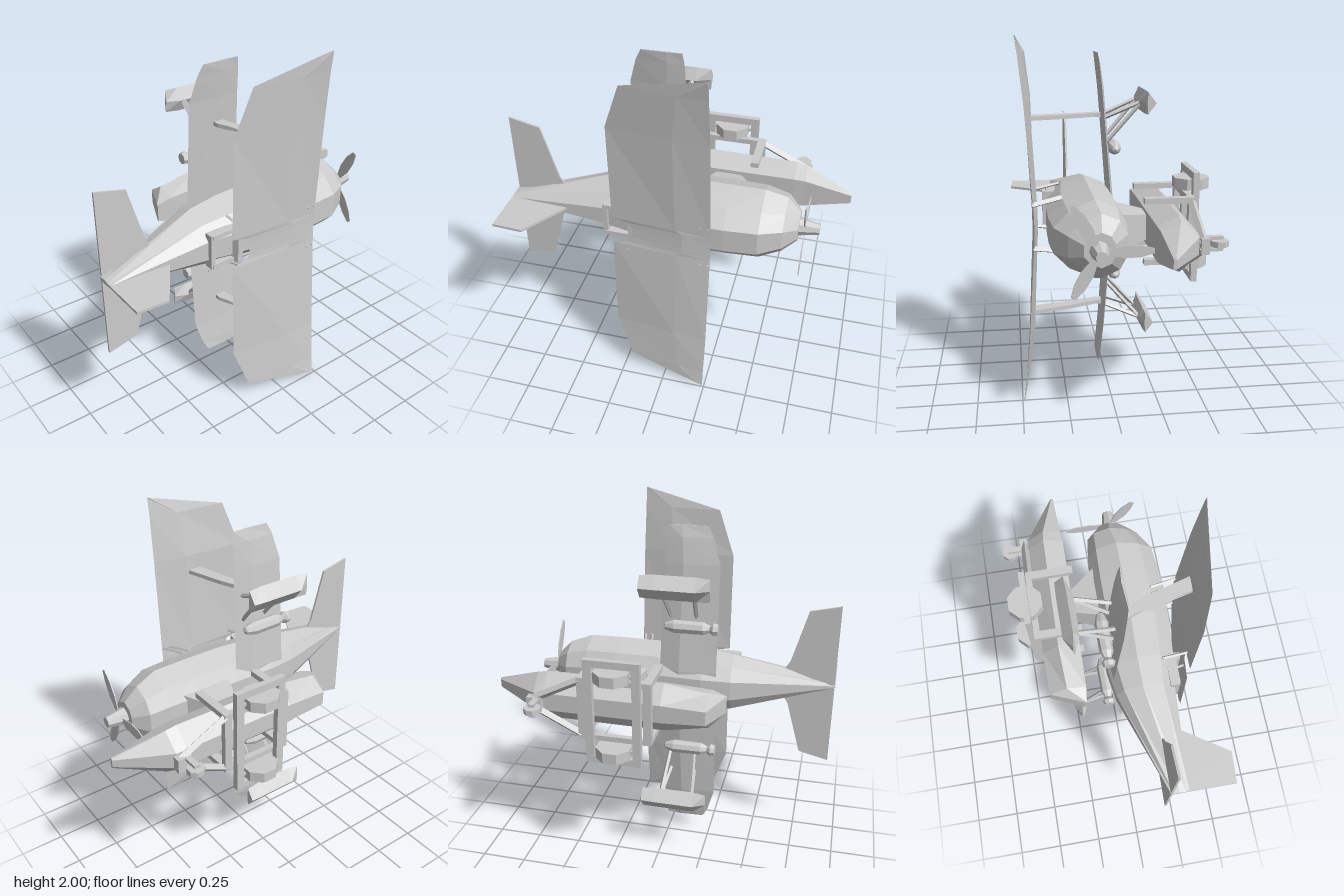
import * as THREE from 'three';

const mat = new THREE.MeshStandardMaterial({ color: 0xcccccc, flatShading: true, side: THREE.DoubleSide });
const V = (x, y, z) => new THREE.Vector3(x, y, z);

// Skin a list of equal-length rings ([x, y, z] points) and cap both ends.
function loft(rings) {
  const tris = [], n = rings[0].length, last = rings.length - 1;
  for (let i = 0; i < last; i++) for (let j = 0; j < n; j++) {
    const k = (j + 1) % n, a = rings[i][j], b = rings[i][k], c = rings[i + 1][k], d = rings[i + 1][j];
    tris.push([a, b, c], [a, c, d]);
  }
  for (let j = 1; j < n - 1; j++) {
    tris.push([rings[0][0], rings[0][j + 1], rings[0][j]]);
    tris.push([rings[last][0], rings[last][j], rings[last][j + 1]]);
  }
  // Turn every face outward if the enclosed volume came out negative
  let vol = 0;
  for (const [a, b, c] of tris) vol += V(...a).dot(V(...b).cross(V(...c)));
  if (vol < 0) tris.forEach(t => t.reverse());
  const g = new THREE.BufferGeometry();
  g.setAttribute('position', new THREE.Float32BufferAttribute(tris.flat(2), 3));
  g.computeVertexNormals();
  return g;
}

export function createModel() {
  const root = new THREE.Group();
  root.name = 'biplane';
  // The aircraft lies on its side: nose +x, wings along y, upper side +z.
  const craft = new THREE.Group();
  craft.name = 'airframe';
  craft.position.y = 1;
  root.add(craft);

  const add = (name, geo) => {
    const m = new THREE.Mesh(geo, mat);
    m.name = name;
    craft.add(m);
    return m;
  };
  const box = (name, x0, x1, y0, y1, z0, z1) => {
    const m = add(name, new THREE.BoxGeometry(x1 - x0, Math.abs(y1 - y0), z1 - z0));
    m.position.set((x0 + x1) / 2, (y0 + y1) / 2, (z0 + z1) / 2);
    return m;
  };
  const rod = (name, a, b, r, sides = 4) => {
    const p = V(...a), q = V(...b), d = q.clone().sub(p);
    const m = add(name, new THREE.CylinderGeometry(r, r, d.length(), sides));
    m.position.copy(p).add(q).multiplyScalar(0.5);
    m.quaternion.setFromUnitVectors(V(0, 1, 0), d.normalize());
    return m;
  };
  // Ring across x from half-profile [halfWidth, z], top to bottom
  const hullRing = (x, half) => [
    ...half.map(([w, z]) => [x, w, z]),
    ...half.slice().reverse().map(([w, z]) => [x, -w, z])];
  // Flat outline in x-z, thickened along y
  const slab = (pts, y0, y1) => loft([pts.map(([x, z]) => [x, y0, z]), pts.map(([x, z]) => [x, y1, z])]);

  // Fuselage: ten-sided body [x, half width, bottom z, top z]
  const section = [[0.33, 1], [0.72, 0.79], [1, 0.44], [0.76, 0.13], [0.33, 0]];
  add('fuselage', loft([
    [-0.93, 0.012, 0.165, 0.265], [-0.36, 0.165, -0.03, 0.295], [-0.2, 0.19, -0.055, 0.32],
    [0.05, 0.208, -0.058, 0.34], [0.3, 0.21, -0.058, 0.34], [0.48, 0.207, -0.05, 0.325],
    [0.6, 0.165, -0.035, 0.26], [0.675, 0.09, 0.035, 0.19],
  ].map(([x, w, b, t]) => hullRing(x, section.map(([u, v]) => [u * w, b + v * (t - b)])))));

  // Cockpit rim and windscreen
  for (const s of [1, -1]) box('cockpitRim', -0.36, -0.19, s * 0.075, s * 0.1, 0.27, 0.325);
  box('cockpitRimBack', -0.37, -0.345, -0.1, 0.1, 0.27, 0.32);
  add('windscreen', slab([[-0.24, 0.29], [-0.18, 0.29], [-0.19, 0.35], [-0.22, 0.35]], -0.1, 0.1));

  // Propeller hub and three blades
  const hub = add('propellerHub', new THREE.CylinderGeometry(0.03, 0.05, 0.11, 8));
  hub.rotation.z = -Math.PI / 2;
  hub.position.set(0.73, 0, 0.115);
  for (let i = 0; i < 3; i++) {
    const blade = add('propellerBlade', loft([[0.03, 0.012], [0.12, 0.032], [0.2, 0.03], [0.265, 0.012]].map(
      ([r, w]) => [[-0.003, -w, -r], [0.003, -w, -r], [0.003, w, -r], [-0.003, w, -r]])));
    blade.rotation.x = i * Math.PI * 2 / 3;
    blade.position.set(0.705, 0, 0.115);
  }

  // Wings: stations [span, leading x, leading z, trailing x, trailing z, thickness]
  const wing = (name, half) => {
    const mirrored = half.slice().reverse().map(([s, ...r]) => [-s, ...r]);
    add(name, loft([...mirrored, ...half].map(([s, xl, zl, xt, zt, t]) => {
      const xm = xl * 0.65 + xt * 0.35, zm = zl * 0.65 + zt * 0.35;
      return [[xl, s, zl], [xm, s, zm + t * 0.4], [xt, s, zt], [xm, s, zm - t * 0.6]];
    })));
  };
  wing('upperWing', [
    [0.03, 0.25, 0.412, -0.18, 0.395, 0.03], [0.065, 0.25, 0.413, -0.2, 0.395, 0.03],
    [0.085, 0.25, 0.414, -0.29, 0.392, 0.03], [0.65, 0.245, 0.452, -0.29, 0.403, 0.03],
    [0.9, 0.24, 0.477, -0.2, 0.432, 0.015], [1, 0.24, 0.49, 0.225, 0.488, 0.004],
  ]);
  wing('lowerWing', [
    [0.1, 0.04, -0.025, -0.28, -0.03, 0.035], [0.7, 0.02, 0.02, -0.28, 0.015, 0.03],
    [0.84, 0.015, 0.035, -0.24, 0.035, 0.025], [0.9, 0.005, 0.043, -0.21, 0.045, 0.012],
  ]);

  // Tail surfaces
  add('tailFin', slab([[-0.93, 0.2], [-0.93, 0.52], [-0.76, 0.53], [-0.59, 0.27], [-0.45, 0.25]], -0.007, 0.007));
  const stab = [[-0.925, 0.01], [-0.925, 0.475], [-0.755, 0.435], [-0.67, 0.13], [-0.6, 0.01]];
  for (const s of [1, -1]) {
    add('stabilizer', loft([0.163, 0.175].map(z => stab.map(([x, y]) => [x, s * y, z]))));
  }

  for (const s of [1, -1]) {
    // Bent strut joining the wings
    add('wingStrut', slab([[-0.13, 0.0], [-0.07, 0.0], [-0.07, 0.05], [-0.015, 0.19], [0.05, 0.42],
      [-0.03, 0.42], [-0.065, 0.2], [-0.13, 0.05]], s * 0.545, s * 0.567));
    // Thin struts between fuselage and upper wing
    rod('cabaneStrut', [0.16, s * 0.15, 0.26], [0.2, s * 0.12, 0.42], 0.009);
    rod('cabaneStrut', [0.2, s * 0.15, 0.26], [0.24, s * 0.12, 0.42], 0.009);
    rod('cabaneStrut', [-0.22, s * 0.14, 0.25], [-0.2, s * 0.11, 0.4], 0.009);

    // Wing float with its four struts
    add('wingFloat', loft([
      [-0.27, 0.06, -0.215, -0.225, -0.23], [-0.2, 0.065, -0.185, -0.215, -0.268],
      [0.02, 0.065, -0.182, -0.215, -0.268], [0.098, 0.06, -0.215, -0.22, -0.265],
    ].map(([x, w, t, m, b]) => [[x, s * 0.635, t], [x, s * 0.635 + w, m], [x, s * 0.635, b], [x, s * 0.635 - w, m]])));
    for (const [x0, x1] of [[-0.16, -0.18], [-0.02, 0]]) {
      rod('floatStrut', [x0, s * 0.55, 0.0], [x1, s * 0.635, -0.2], 0.012);
      rod('floatStrut', [x0, s * 0.41, -0.005], [x1, s * 0.635, -0.2], 0.012);
    }

    // Pod under the lower wing
    const pod = add('underwingPod', new THREE.LatheGeometry([[0, -0.29], [0.03, -0.29], [0.036, -0.265],
      [0.02, -0.245], [0.036, -0.21], [0.038, -0.05], [0.02, 0], [0, 0.01]].map(p => new THREE.Vector2(...p)), 8));
    pod.rotation.z = -Math.PI / 2;
    pod.position.set(0, s * 0.37, -0.057);
    box('podMount', -0.17, -0.08, s * 0.36, s * 0.38, -0.04, 0);

    // Landing gear: posts, rails, brace to the nose wheel and main wheel
    for (const x of [-0.01, 0.35]) box('gearPost', x, x + 0.045, s * 0.15, s * 0.18, -0.42, -0.155);
    box('gearRail', -0.01, 0.395, s * 0.15, s * 0.18, -0.42, -0.387);
    rod('gearBrace', [0.38, s * 0.16, -0.403], [0.67, s * 0.015, -0.403], 0.022);
    const wheel = add('mainWheel', new THREE.CylinderGeometry(0.1, 0.1, 0.06, 8));
    wheel.rotation.y = Math.PI / 8;
    wheel.position.set(0.19, s * 0.22, -0.44);
    box('axle', 0.08, 0.3, s * 0.212, s * 0.228, -0.447, -0.428);
    // Skid frame
    box('frameEnd', 0.04, 0.345, s * 0.26, s * 0.3, -0.453, -0.42);
  }
  for (const x of [0.04, 0.3]) box('frameSide', x, x + 0.045, -0.3, 0.3, -0.453, -0.42);
  for (const x of [-0.01, 0.35]) box('gearCrossbar', x, x + 0.045, -0.18, 0.18, -0.42, -0.387);

  // Nose wheel with fork
  const nose = add('noseWheel', new THREE.CylinderGeometry(0.047, 0.047, 0.03, 8));
  nose.rotation.y = Math.PI / 8;
  nose.position.set(0.62, 0, -0.492);
  for (const s of [1, -1]) box('noseFork', 0.605, 0.638, s * 0.022, s * 0.038, -0.508, -0.42);
  box('forkCrown', 0.6, 0.68, -0.04, 0.04, -0.43, -0.387);

  // Hull slung below the fuselage: [x, deck w, deck z, side w, side z, keel w, keel z]
  add('lowerHull', loft([
    [-0.37, 0.05, -0.195, 0.055, -0.2, 0.045, -0.205], [-0.29, 0.075, -0.185, 0.1, -0.29, 0.04, -0.388],
    [-0.05, 0.09, -0.18, 0.14, -0.3, 0.05, -0.39], [0.6, 0.09, -0.18, 0.14, -0.29, 0.05, -0.388],
    [0.66, 0.085, -0.185, 0.128, -0.285, 0.045, -0.38], [0.925, 0.025, -0.195, 0.03, -0.205, 0.02, -0.212],
  ].map(([x, a, za, b, zb, c, zc]) => hullRing(x, [[a, za], [b, zb], [c, zc]]))));

  // Pylon joining hull and fuselage
  add('pylon', loft([[0.1, 0.4, 0.1, -0.03], [0.16, 0.28, 0.065, -0.2]].map(
    ([x0, x1, w, z]) => [[x0, -w, z], [x1, -w, z], [x1, w, z], [x0, w, z]])));

  return root;
}
